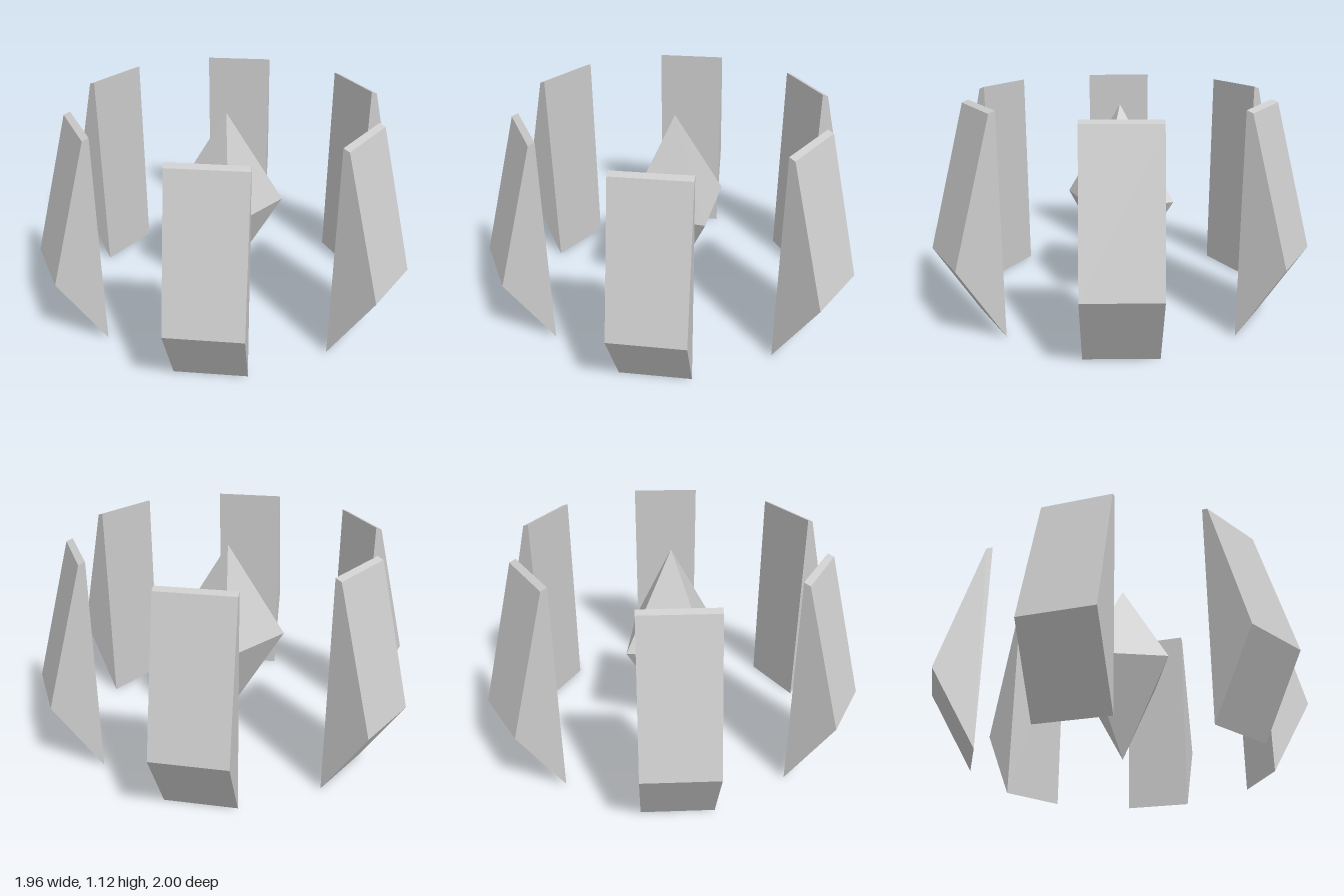
import * as THREE from 'three';

const PANELS = 6;
const INNER_RADIUS = 0.753;
const PANEL_WIDTH = 0.363;
const START_ANGLE = -0.138; // whole ring is turned slightly off the front axis

export function createModel() {
  const model = new THREE.Group();
  model.name = 'crystalWithPanelRing';
  const material = new THREE.MeshStandardMaterial({ color: 0xcccccc, flatShading: true });

  // Central floating crystal: a stretched octahedron
  const crystalGeometry = new THREE.OctahedronGeometry(1);
  crystalGeometry.scale(0.303, 0.5, 0.303);
  const crystal = new THREE.Mesh(crystalGeometry, material);
  crystal.name = 'crystal';
  crystal.position.y = 0.56;
  model.add(crystal);

  // Panel cross-section (outward, up): flat inside, ridge on the outside
  const profile = new THREE.Shape([
    new THREE.Vector2(0, 0),
    new THREE.Vector2(0.232, 0.392),
    new THREE.Vector2(0.032, 1.108),
    new THREE.Vector2(0, 1.12),
  ]);
  const panelGeometry = new THREE.ExtrudeGeometry(profile, { depth: PANEL_WIDTH, bevelEnabled: false });
  panelGeometry.rotateY(-Math.PI / 2);
  panelGeometry.translate(PANEL_WIDTH / 2, 0, INNER_RADIUS);

  // Ring of identical panels around the crystal
  const ring = new THREE.Group();
  ring.name = 'panelRing';
  for (let i = 0; i < PANELS; i++) {
    const panel = new THREE.Mesh(panelGeometry, material);
    panel.name = `panel${i + 1}`;
    panel.rotation.y = START_ANGLE + (i * 2 * Math.PI) / PANELS;
    ring.add(panel);
  }
  model.add(ring);

  return model;
}
